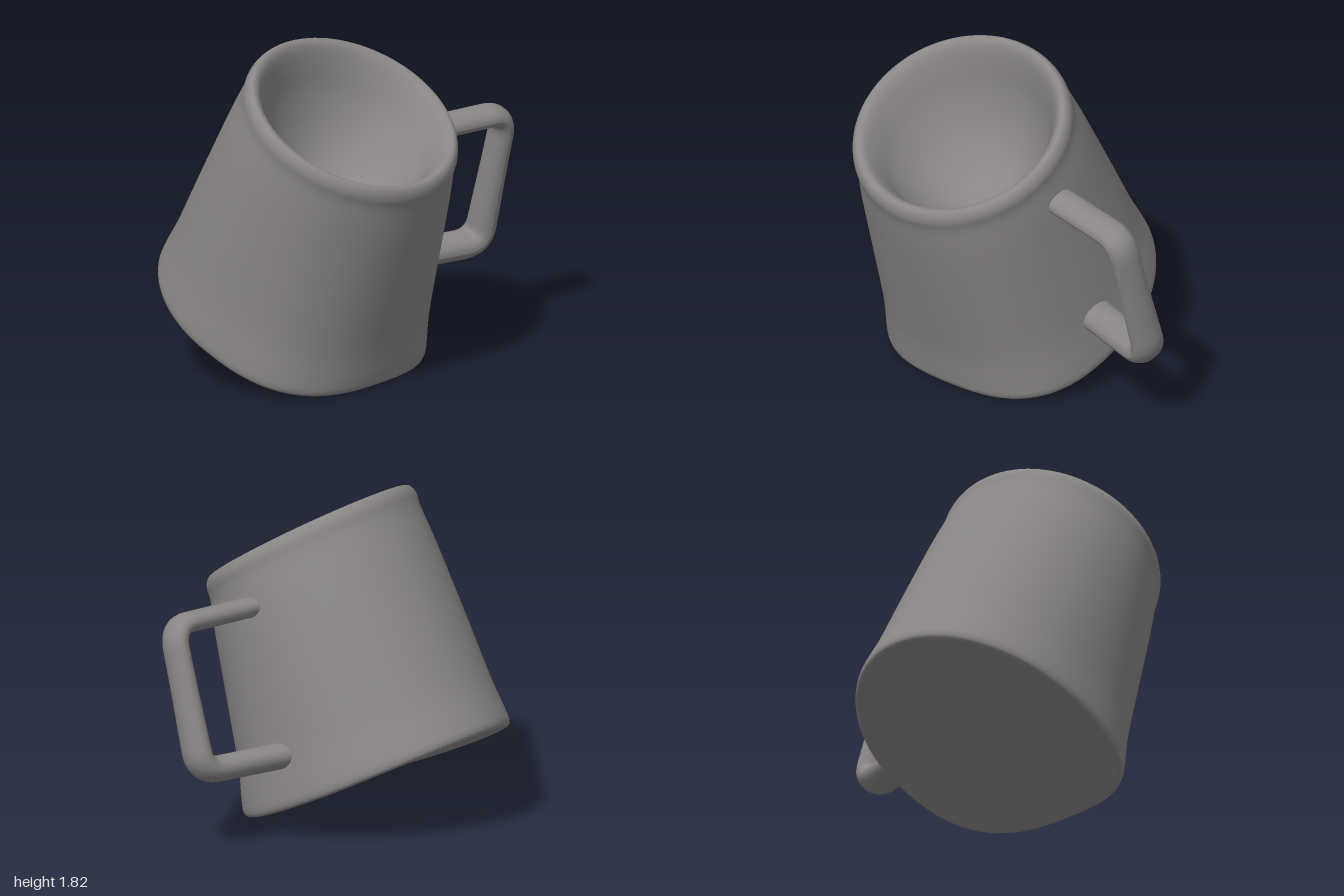
import * as THREE from 'three';
import { mergeVertices } from 'three/addons/utils/BufferGeometryUtils.js';

const mix = THREE.MathUtils.lerp;

// Centre and radii of the tilted base and rim ellipses
const BASE = { x: -0.275, y: 0.295, z: -0.17, rx: 0.722, fy: -0.3, fz: 0.7 };
const RIM = { x: -0.305, y: 1.52, z: 0.355, rx: 0.645, fy: -0.315, fz: 0.505 };

// Profile as [fraction of radius, fraction of height]: base, wall, lip, conical bowl
const PROFILE = [
  [0, 0.02], [0.5, 0.015], [0.88, 0.0], [0.96, 0.0], [0.993, 0.02], [0.995, 0.07],
  [0.985, 0.2], [0.995, 0.45], [1.005, 0.75], [1.0, 0.9], [1.01, 0.96], [0.985, 0.993],
  [0.94, 1.0], [0.88, 0.98], [0.8, 0.92], [0.68, 0.81], [0.5, 0.69], [0.28, 0.6], [0, 0.56],
];

function bodyGeometry() {
  const curve = new THREE.SplineCurve(PROFILE.map(([r, v]) => new THREE.Vector2(r, v)));
  const points = curve.getPoints(108);
  points.forEach((p) => { p.x = Math.max(p.x, 0); });
  points[0].x = points[108].x = 0;
  const lathe = new THREE.LatheGeometry(points, 96);
  const pos = lathe.attributes.position;
  for (let i = 0; i < pos.count; i++) {
    let a = pos.getX(i), b = pos.getZ(i);
    const v = pos.getY(i);
    const c = {};
    for (const k in BASE) c[k] = mix(BASE[k], RIM[k], v);
    // The front corners grow squarer towards the base
    if (b > 0) {
      const k = 1 + 0.075 * Math.sin(2 * Math.atan2(a, b)) ** 2 * Math.max(0, 1 - v * 1.1);
      a *= k;
      b *= k;
    }
    // The base edge sags at its sides and has a shallow dent near the front
    const low = Math.max(0, 1 - v * 2.5) ** 2;
    const sag = 0.065 * a * a * (1 + 0.3 * b) * low;
    const dent = v < 0.03 ? 0.04 * Math.exp(-((a - 0.2) ** 2 + (b - 0.55) ** 2) / 0.05) : 0;
    pos.setXYZ(i, c.x + a * c.rx, c.y + b * c.fy - sag + dent, c.z + b * c.fz);
  }
  lathe.deleteAttribute('uv');
  lathe.deleteAttribute('normal');
  const merged = mergeVertices(lathe, 1e-5);
  merged.computeVertexNormals();
  return merged;
}

// Squared loop with rounded corners, wider across than it is thick
function handleGeometry() {
  const V = (x, y, z = 0) => new THREE.Vector3(x, y, z);
  const path = new THREE.CurvePath();
  path.add(new THREE.LineCurve3(V(-0.04, 0), V(0.5, 0)));
  path.add(new THREE.QuadraticBezierCurve3(V(0.5, 0), V(0.62, 0), V(0.623, -0.14)));
  path.add(new THREE.LineCurve3(V(0.623, -0.14), V(0.64, -0.7)));
  path.add(new THREE.QuadraticBezierCurve3(V(0.64, -0.7), V(0.645, -0.815), V(0.52, -0.818)));
  path.add(new THREE.LineCurve3(V(0.52, -0.818), V(0.0, -0.83, -0.04)));
  const tube = new THREE.TubeGeometry(path, 90, 0.066, 24, false);
  // Slim top bar, thickening towards the bottom bar
  const pos = tube.attributes.position;
  const uv = tube.attributes.uv;
  for (let i = 0; i < pos.count; i++) {
    const centre = path.getPointAt(uv.getX(i));
    const k = mix(0.88, 1.1, Math.min(1, -centre.y / 0.8));
    pos.setXYZ(i,
      mix(centre.x, pos.getX(i), k),
      mix(centre.y, pos.getY(i), k),
      centre.z + (pos.getZ(i) - centre.z) * 1.38 * Math.max(k, 0.97));
  }
  tube.computeVertexNormals();
  const across = new THREE.Vector3(0.97, 0, 0.2);
  const up = new THREE.Vector3(0, 0.963, 0.27);
  const side = new THREE.Vector3().crossVectors(across, up).normalize();
  tube.applyMatrix4(new THREE.Matrix4().makeBasis(across, up, side).setPosition(0.3, 1.252, 0.26));
  return tube;
}

export function createModel() {
  const clay = new THREE.MeshStandardMaterial({ color: 0x8a8686 });
  clay.name = 'warm grey';
  const group = new THREE.Group();
  group.name = 'mug';
  const add = (name, geometry) => {
    const mesh = new THREE.Mesh(geometry, clay);
    mesh.name = name;
    group.add(mesh);
  };
  add('body', bodyGeometry());
  add('handle', handleGeometry());
  return group;
}
